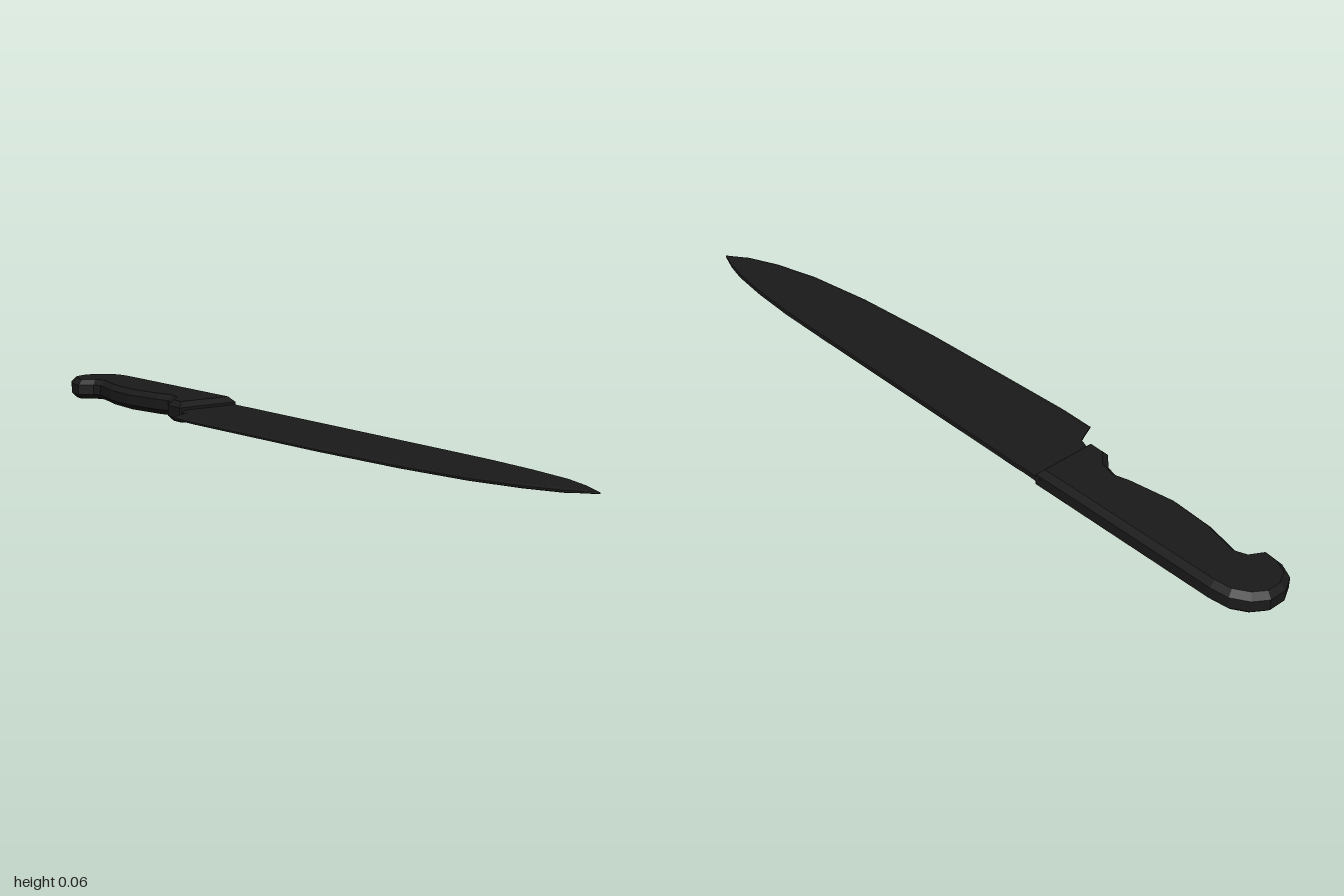
import * as THREE from 'three';

const MID_Y = 0.03;

// Chamfered handle slab cut from its outline in (x, z)
function makeHandle(material) {
  const outline = [
    [0, -0.38], [-0.18, -0.325], [-0.196, -0.384], [-0.172, -0.43], [-0.172, -0.468],
    [-0.196, -0.505], [-0.25, -0.617], [-0.275, -0.73], [-0.28, -0.83], [-0.296, -0.85],
    [-0.34, -0.86], [-0.349, -0.91], [-0.34, -0.955], [-0.307, -0.987], [-0.26, -1],
    [-0.217, -0.987], [-0.18, -0.955], [-0.16, -0.91],
  ];
  const shape = new THREE.Shape(outline.map(([x, z]) => new THREE.Vector2(x, z)));
  const bevel = 0.015, height = 0.059;
  const depth = height - 2 * bevel;
  const geometry = new THREE.ExtrudeGeometry(shape, {
    depth, bevelEnabled: true, bevelSegments: 1,
    bevelThickness: bevel, bevelSize: bevel, bevelOffset: -bevel,
  });
  geometry.rotateX(Math.PI / 2);
  geometry.translate(0, height - bevel, 0);
  const mesh = new THREE.Mesh(geometry, material);
  mesh.name = 'handle';
  return mesh;
}

// Blade lofted through cross-sections running from the thick spine to the ground edge
function makeBlade(material) {
  // spine x, spine z, edge x, edge z, half thickness
  const stations = [
    [-0.005, -0.4, -0.172, -0.345, 0.0065],
    [0.005, -0.36, -0.175, -0.288, 0.0065],
    [0.012, -0.335, -0.192, -0.272, 0.0065],
    [0.019, -0.316, -0.222, -0.246, 0.0065],
    [0.045, -0.225, -0.196, -0.15, 0.0065],
    [0.088, -0.08, -0.143, 0.008, 0.0065],
    [0.175, 0.215, -0.037, 0.32, 0.0065],
    [0.247, 0.46, 0.063, 0.58, 0.0065],
    [0.29, 0.61, 0.148, 0.76, 0.0065],
    [0.322, 0.745, 0.222, 0.876, 0.0065],
    [0.343, 0.865, 0.286, 0.95, 0.0065],
    [0.347, 0.93, 0.315, 0.972, 0.005],
    [0.345, 0.992, 0.34, 0.991, 0.002],
  ];
  const positions = [], indices = [], ring = 6;
  for (const [sx, sz, ex, ez, half] of stations) {
    const width = Math.hypot(ex - sx, ez - sz);
    const shoulder = 1 - Math.min(0.015 / width, 0.4);
    const section = [[0, half], [shoulder, half], [1, half * 0.35],
      [1, -half * 0.35], [shoulder, -half], [0, -half]];
    for (const [t, y] of section) {
      positions.push(sx + (ex - sx) * t, MID_Y + y, sz + (ez - sz) * t);
    }
  }
  const last = (stations.length - 1) * ring;
  for (let base = 0; base < last; base += ring) {
    for (let j = 0; j < ring; j++) {
      const a = base + j, b = base + (j + 1) % ring;
      indices.push(a, b, a + ring, b, b + ring, a + ring);
    }
  }
  // End caps
  for (let j = 1; j < ring - 1; j++) {
    indices.push(0, j + 1, j, last, last + j, last + j + 1);
  }
  const geometry = new THREE.BufferGeometry();
  geometry.setAttribute('position', new THREE.Float32BufferAttribute(positions, 3));
  geometry.setIndex(indices);
  const flat = geometry.toNonIndexed();
  flat.computeVertexNormals();
  const mesh = new THREE.Mesh(flat, material);
  mesh.name = 'blade';
  return mesh;
}

export function createModel() {
  const group = new THREE.Group();
  group.name = 'kitchenKnife';
  const material = new THREE.MeshStandardMaterial({
    color: 0x1a1a1a, flatShading: true, side: THREE.DoubleSide,
  });
  group.add(makeHandle(material), makeBlade(material));
  return group;
}
